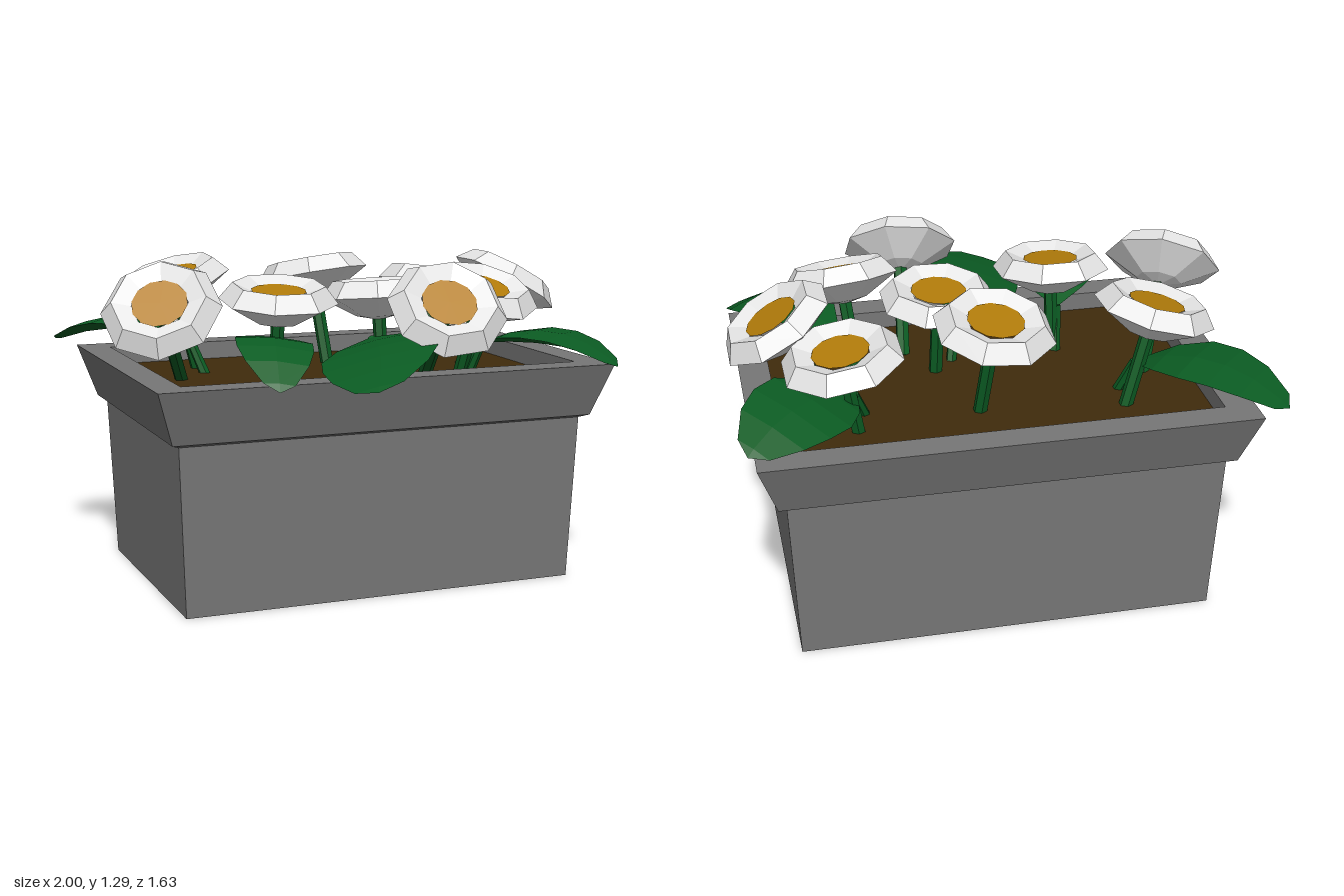
import * as THREE from 'three';

const makeMaterial = (name, color) => {
  const m = new THREE.MeshStandardMaterial({ color });
  m.name = name;
  return m;
};

// Faceted mesh: unshared corners give flat normals
function facet(name, geometry, material) {
  const g = geometry.index ? geometry.toNonIndexed() : geometry;
  g.computeVertexNormals();
  const mesh = new THREE.Mesh(g, material);
  mesh.name = name;
  return mesh;
}

// Skin closed cross-sections (arrays of Vector3) with quads, closing the first one
function skin(rings) {
  const n = rings[0].length, pos = [], idx = [];
  rings.forEach(r => r.forEach(p => pos.push(p.x, p.y, p.z)));
  for (let i = 0; i < rings.length - 1; i++) {
    for (let j = 0; j < n; j++) {
      const a = i * n + j, b = i * n + (j + 1) % n;
      idx.push(a, b, b + n, a, b + n, a + n);
    }
  }
  for (let j = 1; j < n - 1; j++) idx.push(0, j + 1, j);
  const g = new THREE.BufferGeometry();
  g.setAttribute('position', new THREE.Float32BufferAttribute(pos, 3));
  g.setIndex(idx);
  return g;
}

const SOIL_Y = 0.8;
const UP = new THREE.Vector3(0, 1, 0);

export function createModel() {
  const model = new THREE.Group();
  model.name = 'flowerPlanter';
  const stone = makeMaterial('stoneGrey', 0x777777);
  const earth = makeMaterial('soilBrown', 0x402b0c);
  const white = makeMaterial('petalWhite', 0xeaeaea);
  const gold = makeMaterial('centreGold', 0xb27c0a);
  const green = makeMaterial('leafGreen', 0x0b5c23);
  green.side = THREE.DoubleSide;

  // Planter: half width, half depth, height, running up the outside and down the inside
  const planter = new THREE.Group();
  planter.name = 'planter';
  planter.position.set(0.0275, 0, -0.1425);
  const profile = [
    [0.793, 0.518, 0], [0.818, 0.543, 0.652], [0.85, 0.575, 0.665],
    [0.918, 0.643, 0.872], [0.803, 0.528, 0.872], [0.803, 0.528, SOIL_Y - 0.02],
  ];
  const rings = profile.map(([w, d, y]) =>
    [[-1, 1], [1, 1], [1, -1], [-1, -1]].map(([sx, sz]) => new THREE.Vector3(sx * w, y, sz * d)));
  planter.add(facet('pot', skin(rings), stone));
  const soil = facet('soil', new THREE.PlaneGeometry(1.606, 1.056).rotateX(-Math.PI / 2), earth);
  soil.position.y = SOIL_Y;
  planter.add(soil);
  model.add(planter);

  // Flowers: centre position and facing direction; the stem runs straight back along the axis
  const petalProfile = [[0, -0.135], [0.09, -0.115], [0.23, -0.035], [0.178, 0.03], [0.107, 0]]
    .map(([r, y]) => new THREE.Vector2(r, y));
  const flowers = [
    [[-0.775, 1.14, 0.125], [-0.34, 0.69, 0.64]],
    [[0.235, 1.14, 0.49], [-0.1, 0.7, 0.7]],
    [[0.52, 1.16, 0.195], [0.1, 0.93, 0.32]],
    [[-0.305, 1.165, 0.115], [0, 0.98, 0.13]],
    [[0.175, 1.15, -0.06], [-0.03, 0.99, -0.08]],
    [[0.04, 1.2, -0.46], [-0.1, 0.97, -0.19]],
    [[0.605, 1.14, -0.47], [0.16, 0.97, -0.08]],
    [[0.82, 1.16, -0.175], [0.5, 0.86, 0]],
    [[-0.575, 1.195, -0.42], [-0.26, 0.95, 0.06]],
  ];
  for (const [centre, facing] of flowers) {
    const flower = new THREE.Group();
    flower.name = 'flower';
    const n = new THREE.Vector3(...facing).normalize();
    flower.position.set(...centre);
    flower.quaternion.setFromUnitVectors(UP, n);
    const turn = Math.PI / 8;
    flower.add(facet('petals', new THREE.LatheGeometry(petalProfile, 8).rotateY(turn), white));
    const disc = facet('flowerCentre', new THREE.CircleGeometry(0.107, 12).rotateX(-Math.PI / 2), gold);
    disc.position.y = 0.006;
    flower.add(disc);
    const end = (centre[1] - SOIL_Y) / n.y + 0.02;
    const stem = facet('stem', new THREE.CylinderGeometry(0.027, 0.027, end - 0.1, 6), green);
    stem.position.y = -(end + 0.1) / 2;
    flower.add(stem);
    model.add(flower);
  }

  // Leaves: start, arch point, tip, half width, sideways tilt
  const leaves = [
    [[-0.52, 0.93, -0.36], [-0.75, 1.06, -0.57], [-0.955, 0.92, -0.765], 0.17, 0],
    [[0.55, 0.91, -0.36], [0.77, 1.03, -0.58], [0.95, 0.95, -0.77], 0.17, 0.05],
    [[0.55, 0.93, 0.13], [0.75, 1.03, 0.35], [0.9, 0.89, 0.545], 0.175, 0],
    [[0.08, 0.97, 0.12], [-0.02, 0.97, 0.47], [-0.17, 0.89, 0.785], 0.215, -0.055],
    [[-0.33, 0.97, 0.1], [-0.4, 1.05, 0.33], [-0.455, 0.88, 0.545], 0.145, 0.015],
  ];
  const widths = [0.1, 0.7, 1, 0.98, 0.8, 0.4];
  for (const [start, arch, tip, half, tilt] of leaves) {
    const [a, b, c] = [start, arch, tip].map(p => new THREE.Vector3(...p));
    const path = new THREE.QuadraticBezierCurve3(a, b, c);
    const side = c.clone().sub(a).setY(0).normalize().cross(UP).multiplyScalar(half).setY(tilt);
    // Each section is a thin lens: left edge, raised midrib, right edge, underside
    const sections = widths.map((w, i) => {
      const p = path.getPoint(i / (widths.length - 1));
      const at = (s, y) => p.clone().addScaledVector(side, s * w).addScaledVector(UP, y * w);
      return [at(-1, 0.012), at(0, 0.022), at(1, 0.012), at(0, -0.03)];
    });
    const point = c.clone().addScaledVector(c.clone().sub(b).normalize(), 0.035);
    sections.push(Array(4).fill(point));
    const leaf = new THREE.Group();
    leaf.name = 'leaf';
    leaf.add(facet('leafBlade', skin(sections), green));
    // Stalk from the soil to the blade
    const root = a.clone().addScaledVector(c.clone().sub(a), -0.12).setY(SOIL_Y - 0.02);
    const dir = a.clone().sub(root);
    const stalk = facet('leafStalk', new THREE.CylinderGeometry(0.018, 0.022, dir.length(), 6), green);
    stalk.position.copy(root).addScaledVector(dir, 0.5);
    stalk.quaternion.setFromUnitVectors(UP, dir.normalize());
    leaf.add(stalk);
    model.add(leaf);
  }
  return model;
}
